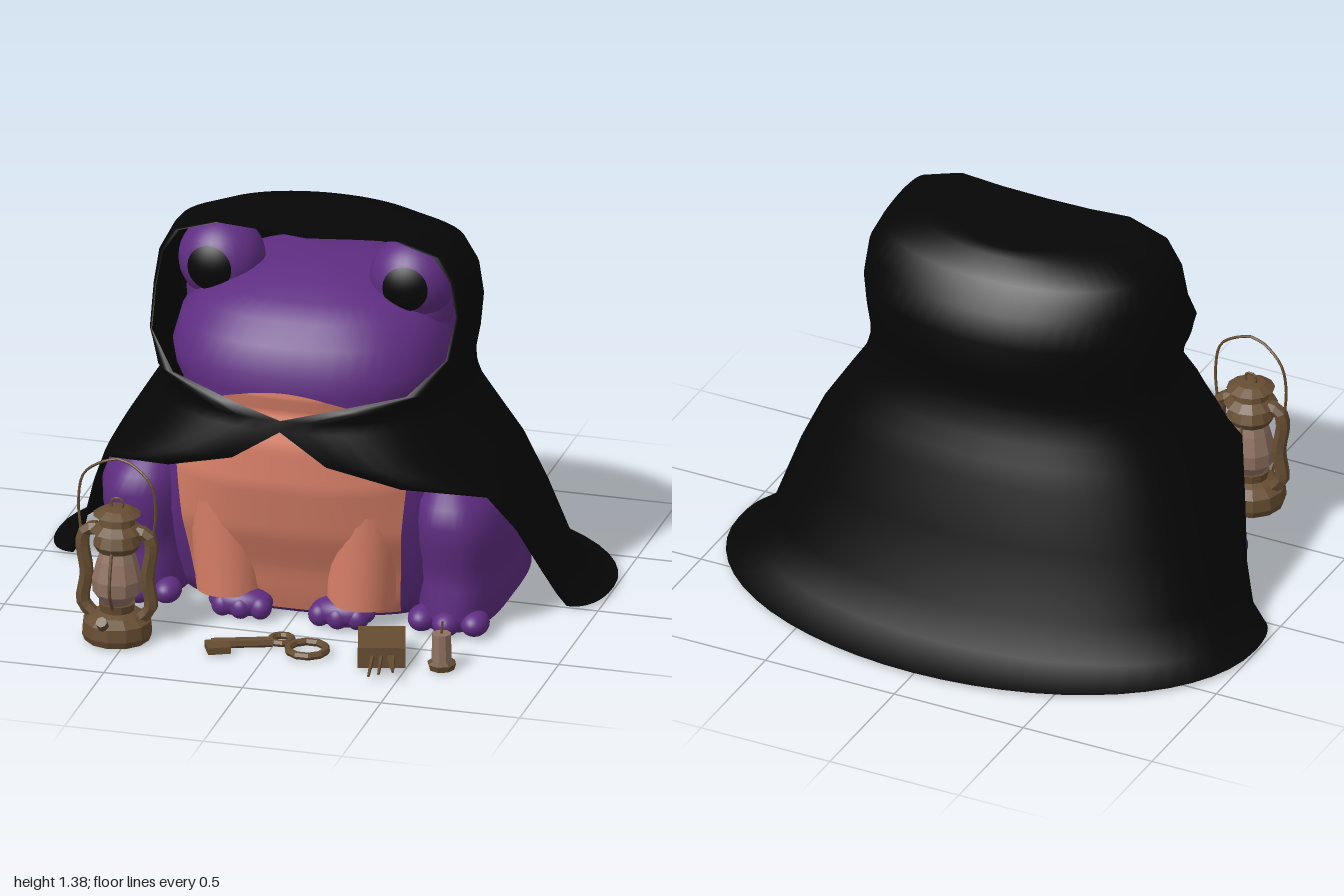
import * as THREE from 'three';
import { mergeVertices } from 'three/addons/utils/BufferGeometryUtils.js';

const V = (x, y, z) => new THREE.Vector3(x, y, z);
const material = (name, color, extra = {}) =>
  Object.assign(new THREE.MeshStandardMaterial({ color, ...extra }), { name });

// Surface from rows of points; fn(i, j) returns [x, y, z]
function grid(rows, cols, fn) {
  const pos = [], idx = [];
  for (let i = 0; i <= rows; i++) for (let j = 0; j <= cols; j++) {
    pos.push(...fn(i, j));
    if (i < rows && j < cols) {
      const a = i * (cols + 1) + j, d = a + cols + 1;
      idx.push(a, a + 1, d + 1, a, d + 1, d);
    }
  }
  let geo = new THREE.BufferGeometry();
  geo.setAttribute('position', new THREE.Float32BufferAttribute(pos, 3));
  geo.setIndex(idx);
  geo = mergeVertices(geo, 1e-4);
  geo.computeVertexNormals();
  return geo;
}

const spow = (v, p) => Math.sign(v) * Math.abs(v) ** p;

// Closed skin through rounded rings: y, half width, front z, back z, centre x
const loft = (rings, mirror = 1) => grid(rings.length - 1, 48, (i, j) => {
  const [y, rx, zf, zb, xc = 0] = rings[i], a = (j % 48) / 48 * Math.PI * 2;
  return [mirror * xc + rx * spow(Math.sin(a), .8), y, (zf + zb) / 2 + (zf - zb) / 2 * spow(Math.cos(a), .8)];
});

// Cloak rows: back y, z | side x, y, z | front edge x, y, z
const CLOAK = [
  [.01, -.86, 1, .01, -.2, .89, .01, .01],
  [.04, -.68, .92, .04, -.2, .86, .06, .03],
  [.16, -.61, .85, .16, -.18, .82, .17, .09],
  [.4, -.55, .78, .38, -.12, .76, .36, .2],
  [.6, -.49, .71, .54, -.08, .69, .52, .32],
  [.68, -.46, .66, .62, -.06, .42, .575, .46],
  [.75, -.43, .61, .7, -.05, .17, .66, .535],
  [.8, -.415, .565, .77, -.05, 0, .77, .525],
  [.84, -.405, .55, .81, -.05, 0, .81, .52],
  [.87, -.4, .54, .85, -.05, .17, .855, .5],
  [.92, -.395, .54, .91, -.05, .42, .9, .4],
  [1, -.415, .56, 1, -.03, .53, 1, .28],
  [1.12, -.42, .57, 1.1, -.03, .54, 1.13, .19],
  [1.22, -.38, .555, 1.22, -.03, .52, 1.25, .18],
  [1.31, -.31, .51, 1.31, -.03, .46, 1.34, .18],
  [1.365, -.23, .38, 1.37, 0, .32, 1.385, .18],
  [1.375, -.19, .2, 1.365, 0, .17, 1.375, .18],
  [1.375, -.15, 0, 1.36, 0, 0, 1.365, .19],
];

function cloakPoint(i, j, half) {
  const [yb, zb, w, ys, zs, xf, yf, zf] = CLOAK[i];
  const side = j <= half ? 1 : -1;
  const t = (j <= half ? j : 2 * half - j) / half * 2; // 0 front edge, 1 side, 2 back
  if (t < 1) {
    const a = (1 - t) * Math.PI / 2, s = Math.sin(a) ** .85;
    return [side * (xf + (w - xf) * Math.abs(Math.cos(a)) ** .85), ys + (yf - ys) * s, zs + (zf - zs) * s];
  }
  const a = (t - 1) * Math.PI / 2, s = Math.sin(a);
  return [t > 1.999 ? 0 : side * w * Math.cos(a), ys + (yb - ys) * s, zs + (zb - zs) * s];
}

const BODY = [
  [.015, 0, .1, .1], [.015, .52, .32, -.54], [.08, .57, .345, -.55], [.2, .59, .38, -.54],
  [.35, .58, .45, -.5], [.55, .52, .5, -.45], [.7, .46, .5, -.4], [.82, .45, .465, -.35],
  [.88, .475, .48, -.34], [.95, .49, .475, -.35], [1.05, .465, .44, -.35], [1.12, .41, .375, -.34],
  [1.17, .33, .3, -.32], [1.205, .22, .19, -.25], [1.22, 0, .05, -.05],
];

const HIND_LEG = [
  [.01, 0, 0, 0, .55], [.01, .13, .35, -.35, .55], [.07, .16, .38, -.36, .56], [.16, .15, .35, -.35, .56],
  [.25, .16, .365, -.34, .565], [.33, .172, .39, -.33, .565], [.41, .172, .4, -.32, .565], [.48, .155, .385, -.3, .555],
  [.54, .11, .33, -.26, .545], [.57, .06, .25, -.18, .54], [.58, 0, .05, .05, .54],
];

function bodyAt(y) {
  let k = 1;
  while (k < BODY.length - 2 && BODY[k + 1][0] < y) k++;
  const t = (y - BODY[k][0]) / (BODY[k + 1][0] - BODY[k][0]);
  return BODY[k].map((v, n) => v + (BODY[k + 1][n] - v) * t);
}

export function createModel() {
  const model = new THREE.Group();
  model.name = 'cloakedFrog';
  const black = material('cloakBlack', 0x060606, { side: THREE.DoubleSide });
  const purple = material('skinPurple', 0x5f2d82);
  const orange = material('bellyOrange', 0xd98068, { side: THREE.DoubleSide });
  const bronze = material('agedBronze', 0x664d32, { flatShading: true, side: THREE.DoubleSide });
  const wax = material('waxAndGlass', 0x8f7262, { flatShading: true });

  const add = (name, geo, mat, p = [0, 0, 0], parent = model) => {
    const m = new THREE.Mesh(geo, mat);
    m.name = name;
    m.position.set(...p);
    parent.add(m);
    return m;
  };
  const blob = (name, mat, p, s) => add(name, new THREE.SphereGeometry(1, 28, 20), mat, p).scale.set(...s);
  const rod = (name, mat, a, b, r0, r1, sides = 8, parent = model) => {
    const d = b.clone().sub(a);
    const m = add(name, new THREE.CylinderGeometry(r1, r0, d.length(), sides), mat, [0, 0, 0], parent);
    m.position.copy(a).addScaledVector(d, .5);
    m.quaternion.setFromUnitVectors(V(0, 1, 0), d.normalize());
  };
  const wire = (name, pts, r, parent) => add(name, new THREE.TubeGeometry(
    new THREE.CatmullRomCurve3(pts.map(p => V(...p))), 14, r, 6), bronze, [0, 0, 0], parent);
  const lathe = (name, mat, pts, sides, p, parent) => add(name, new THREE.LatheGeometry(
    pts.map(q => new THREE.Vector2(...q)), sides), mat, p, parent);

  // Hooded cloak
  add('hoodedCloak', grid(CLOAK.length - 1, 56, (i, j) => cloakPoint(i, j, 28)), black);

  // Torso and head in one skin
  add('bodyAndHead', loft(BODY), purple);

  // Belly and rounded throat skin laid on the torso
  add('belly', grid(44, 24, (i, j) => {
    const y = .03 + .87 * Math.sin(i / 44 * Math.PI / 2), [, rx, zf, zb] = bodyAt(y);
    const x = (j / 12 - 1) * Math.min(.36 + .1 * y, .26 * Math.sqrt(Math.max(0, .9 - y) / .06));
    const c = (1 - Math.abs(x / rx) ** 2.5) ** .4;
    return [x, y, (zf + zb) / 2 + (zf - zb) / 2 * c + .01];
  }), orange);

  for (const s of [1, -1]) {
    const side = s > 0 ? 'left' : 'right';
    // Eyes
    const eye = new THREE.Group();
    eye.name = side + 'Eye';
    eye.position.set(s * .345, 1.2, .04);
    eye.rotation.set(-.05, s * .06, 0);
    model.add(eye);
    add(side + 'EyeBulge', new THREE.SphereGeometry(.152, 28, 20), purple, [0, 0, 0], eye);
    add(side + 'Pupil', new THREE.SphereGeometry(.157, 24, 6, 0, Math.PI * 2, 0, .54), black, [0, 0, 0], eye)
      .rotation.x = Math.PI / 2;
    blob(side + 'Cheek', purple, [s * .35, 1.08, .01], [.125, .16, .15]);
    // Front leg and foot
    rod(side + 'FrontLeg', orange, V(s * .235, .085, .315), V(s * .26, .62, .315), .12, .14, 24);
    blob(side + 'FrontFoot', purple, [s * .185, .055, .365], [.115, .055, .07]);
    // Hind leg
    add(side + 'HindLeg', loft(HIND_LEG, s), purple);
    for (const t of [-1, 0, 1]) {
      blob(side + 'FrontToe', purple, [s * .175 + t * .068, .045, .405 - Math.abs(t) * .012], [.04, .042, .04]);
      blob(side + 'HindToe', purple, [s * .555 + t * .095, .048, .355 - Math.abs(t) * .025], [.05, .045, .065]);
    }
  }

  // Lantern
  const lantern = new THREE.Group();
  lantern.name = 'lantern';
  lantern.position.set(-.54, 0, .69);
  model.add(lantern);
  lathe('lanternBase', bronze, [[0, .005], [.115, .005], [.125, .03], [.12, .075], [.085, .1], [.06, .11], [.065, .14], [0, .14]], 12, [0, 0, 0], lantern);
  lathe('lanternGlass', wax, [[.055, .14], [.085, .18], [.088, .23], [.07, .3], [.055, .345]], 10, [0, 0, 0], lantern);
  lathe('lanternCap', bronze, [[0, .335], [.07, .335], [.085, .36], [.07, .4], [.095, .41], [.065, .435], [.06, .465], [.085, .47], [.05, .49], [0, .495]], 12, [0, 0, 0], lantern);
  add('lanternTopRing', new THREE.TorusGeometry(.022, .005, 5, 10), bronze, [0, .505, 0], lantern);
  rod('lanternFuelCap', bronze, V(-.02, .07, .09), V(-.02, .11, .13), .02, .02, 8, lantern);
  for (const s of [1, -1]) {
    wire('lanternSideTube', [[s * .09, .09, 0], [s * .122, .13, 0], [s * .11, .24, 0], [s * .125, .36, 0], [s * .11, .4, 0], [s * .07, .41, 0]], .025, lantern);
    wire('lanternGuard', [[0, .13, s * .06], [0, .2, s * .098], [0, .26, s * .094], [0, .35, s * .07]], .006, lantern);
    wire('lanternHandle', [[s * .13, .39, 0], [s * .142, .5, s * .01], [s * .125, .6, s * .015], [s * .05, .66, 0], [0, .675, 0]], .005, lantern);
  }

  // Key
  const key = new THREE.Group();
  key.name = 'key';
  model.add(key);
  const flatRing = (name, r, t, p) => add(name, new THREE.TorusGeometry(r, t, 6, 10), bronze, p, key).rotation.x = Math.PI / 2;
  flatRing('keyRing', .068, .014, [.135, .02, .65]);
  flatRing('keyBow', .038, .013, [.025, .02, .59]);
  rod('keyShaft', bronze, V(0, .02, .62), V(-.2, .02, .69), .019, .019, 6, key);
  add('keyBit', new THREE.BoxGeometry(.08, .025, .08), bronze, [-.17, .02, .715], key).rotation.y = .45;

  // Matchbox with spilled matches
  const box = new THREE.Group();
  box.name = 'matchbox';
  box.position.set(.395, .005, .62);
  box.rotation.y = .27;
  model.add(box);
  add('matchboxSleeve', new THREE.BoxGeometry(.165, .075, .2), bronze, [0, .04, 0], box);
  [[-.03, -.015], [0, -.01], [.025, .015], [.04, .0]].forEach(([x, dx], i) =>
    rod('match', bronze, V(x, .045, .08), V(x + dx, .025 + i * .008, .225), .009, .005, 5, box));

  // Candle
  lathe('candleHolder', bronze, [[0, .003], [.045, .003], [.052, .025], [.038, .035], [0, .035]], 8, [.62, 0, .65]);
  rod('candle', wax, V(.62, .03, .65), V(.62, .135, .65), .036, .033, 9);
  rod('candleWick', bronze, V(.62, .13, .65), V(.623, .18, .65), .006, .004, 5);

  return model;
}
